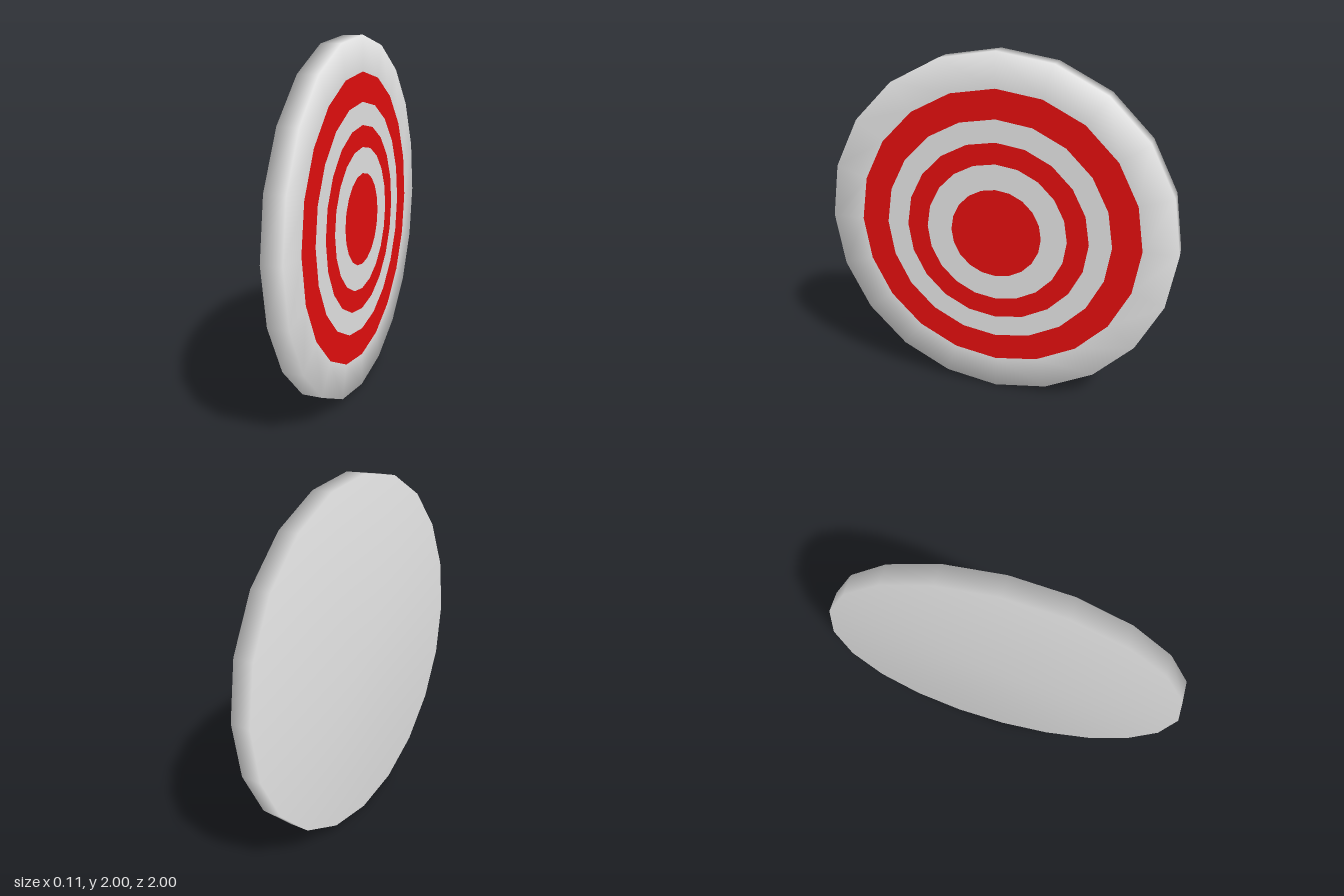
import * as THREE from 'three';

const SIDES = 20;
const HALF = 0.056; // half the board thickness

export function createModel() {
  const white = new THREE.MeshStandardMaterial({ color: 0xe7e7e7 });
  white.name = 'white';
  const red = new THREE.MeshStandardMaterial({ color: 0xe60e0e });
  red.name = 'red';

  const group = new THREE.Group();
  group.name = 'target';

  const add = (name, geometry, material) => {
    const mesh = new THREE.Mesh(geometry, material);
    mesh.name = name;
    mesh.position.y = 1;
    group.add(mesh);
  };

  // Board: plain back, rim and outer white band, softly shaded across the edges
  const profile = [[0, -HALF], [1, -HALF], [1, HALF], [0.81, HALF]]
    .map(([r, h]) => new THREE.Vector2(r, h));
  add('board', new THREE.LatheGeometry(profile, SIDES).rotateZ(-Math.PI / 2), white);

  // Flat painted rings on the face, from the outside in
  const radii = [0.81, 0.65, 0.525, 0.405];
  for (let i = 0; i < radii.length; i++) {
    const inner = radii[i + 1] ?? 0.26;
    const ring = new THREE.RingGeometry(inner, radii[i], SIDES, 1);
    ring.rotateY(Math.PI / 2).translate(HALF, 0, 0);
    add(i % 2 ? 'whiteRing' : 'redRing', ring, i % 2 ? white : red);
  }

  // Bullseye
  const bullseye = new THREE.CircleGeometry(0.26, SIDES);
  bullseye.rotateY(Math.PI / 2).translate(HALF, 0, 0);
  add('bullseye', bullseye, red);

  return group;
}
